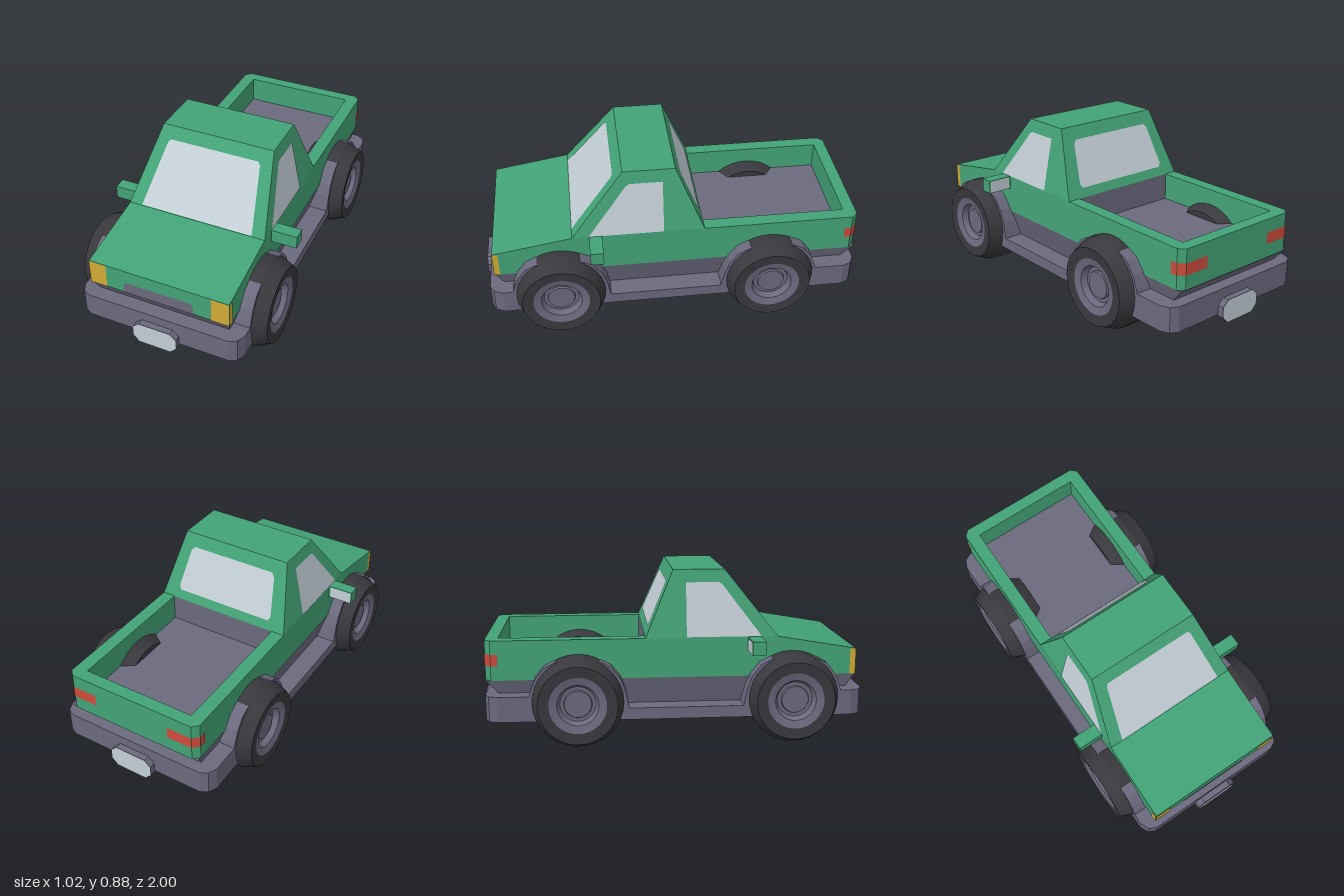
import * as THREE from 'three';
import { toCreasedNormals } from 'three/addons/utils/BufferGeometryUtils.js';

const paint = (name, color) => {
  const m = new THREE.MeshStandardMaterial({ color });
  m.name = name;
  return m;
};

export function createModel() {
  const green = paint('green paint', 0x43a377);
  const grey = paint('grey trim', 0x6b697d);
  const black = paint('tyre rubber', 0x38383d);
  const pale = paint('pale glass', 0xc3ced5);
  const amber = paint('amber lamp', 0xd2ac35);
  const red = paint('red lamp', 0xcf4a3a);

  const truck = new THREE.Group();
  truck.name = 'pickupTruck';
  const add = (name, geo, mat, parent = truck) => {
    const mesh = new THREE.Mesh(geo, mat);
    mesh.name = name;
    parent.add(mesh);
    return mesh;
  };

  // Plan outline of [x, z] points, extruded upwards
  const plan = (pts, y0, y1) => {
    const shape = new THREE.Shape(pts.map(([x, z]) => new THREE.Vector2(x, -z)));
    return new THREE.ExtrudeGeometry(shape, { depth: y1 - y0, bevelEnabled: false })
      .rotateX(-Math.PI / 2).translate(0, y0, 0);
  };
  // Side outline of [z, y] points, extruded across x
  const side = (pts, x0, x1) => {
    const shape = new THREE.Shape(pts.map(([z, y]) => new THREE.Vector2(z, y)));
    return new THREE.ExtrudeGeometry(shape, { depth: x1 - x0, bevelEnabled: false })
      .rotateY(-Math.PI / 2).translate(x1, 0, 0);
  };
  // Box with different bottom and top rectangles: [halfWidth, zBack, zFront, y]
  const tapered = (bottom, top) => {
    const geo = new THREE.BoxGeometry(2, 2, 2);
    const p = geo.attributes.position;
    for (let i = 0; i < p.count; i++) {
      const [w, zb, zf, y] = p.getY(i) < 0 ? bottom : top;
      p.setXYZ(i, p.getX(i) * w, y, p.getZ(i) < 0 ? zb : zf);
    }
    geo.computeVertexNormals();
    return geo;
  };
  // Flat convex plate, lifted slightly off the surface and facing `out`
  const plate = (name, mat, pts, out) => {
    let v = pts.map(p => new THREE.Vector3(...p));
    const n = v[1].clone().sub(v[0]).cross(v[2].clone().sub(v[0])).normalize();
    if (n.dot(new THREE.Vector3(...out)) < 0) { v.reverse(); n.negate(); }
    v = v.map(p => p.addScaledVector(n, 0.003));
    const tris = [];
    for (let i = 1; i < v.length - 1; i++) tris.push(v[0], v[i], v[i + 1]);
    const geo = new THREE.BufferGeometry().setFromPoints(tris);
    geo.computeVertexNormals();
    return add(name, geo, mat);
  };

  // Chassis slab with rounded corners, raised into bumpers at both ends
  const corner = [[0.44, 0.9], [0.42, 0.945], [0.38, 0.965]];
  const endCap = (z0, s) => [[0.44, z0], ...corner.map(([x, z]) => [x, s * z]),
    ...corner.map(([x, z]) => [-x, s * z]).reverse(), [-0.44, z0]];
  add('chassis', plan([...endCap(0, 1), ...endCap(0, -1).reverse()], 0.14, 0.2), grey);
  add('frontBumper', plan(endCap(0.8, 1), 0.2, 0.27), grey);
  add('rearBumper', plan(endCap(-0.7, -1), 0.2, 0.27), grey);
  add('lowerBody', tapered([0.335, -0.84, 0.85, 0.2], [0.373, -0.963, 0.933, 0.34]), grey);

  // Number plate blocks at both ends
  for (const s of [1, -1]) {
    const outline = [[0.118, 0.135], [0.118, 0.19], [0.085, 0.22], [-0.085, 0.22],
      [-0.118, 0.19], [-0.118, 0.135], [-0.085, 0.102], [0.085, 0.102]];
    const shape = new THREE.Shape(outline.map(([x, y]) => new THREE.Vector2(x, y)));
    const block = new THREE.ExtrudeGeometry(shape, { depth: 0.047, bevelEnabled: false });
    block.translate(0, 0, s > 0 ? 0.95 : -0.997);
    const end = s > 0 ? 'front' : 'rear';
    add(end + 'PlateBlock', block, grey);
    plate(end + 'Plate', pale, outline.map(([x, y]) => [x, y, s * 0.997]), [0, 0, s]);
  }

  // Hood and lower cab
  add('hood', side([[-0.155, 0.34], [0.935, 0.34], [0.935, 0.475], [0.525, 0.545],
    [-0.155, 0.545]], -0.375, 0.375), green);

  // Open cargo bed
  add('bedWalls', plan([[0.375, -0.155], [0.375, -0.935], [0.345, -0.965], [-0.345, -0.965],
    [-0.375, -0.935], [-0.375, -0.155], [-0.305, -0.155], [-0.305, -0.9],
    [0.305, -0.9], [0.305, -0.155]], 0.34, 0.545), green);
  add('bedFloor', new THREE.BoxGeometry(0.62, 0.06, 0.76).translate(0, 0.372, -0.53), grey);
  plate('bedFrontWall', grey, [[-0.305, 0.4, -0.155], [0.305, 0.4, -0.155],
    [0.305, 0.545, -0.155], [-0.305, 0.545, -0.155]], [0, 0, -1]);

  // Cab and its windows, laid on the sloping faces
  add('cab', tapered([0.375, -0.155, 0.525, 0.545], [0.305, -0.01, 0.255, 0.885]), green);
  const t = y => (y - 0.545) / 0.34;
  const onFront = ([x, y]) => [x, y, 0.525 - 0.27 * t(y)];
  const onBack = ([x, y]) => [x, y, -0.155 + 0.145 * t(y)];
  plate('windshield', pale, [[-0.305, 0.548], [0.305, 0.548], [0.255, 0.815], [0.243, 0.83],
    [-0.243, 0.83], [-0.255, 0.815]].map(onFront), [0, 0, 1]);
  plate('rearWindow', pale, [[-0.27, 0.59], [0.27, 0.59], [0.282, 0.61], [0.253, 0.8],
    [0.235, 0.82], [-0.235, 0.82], [-0.253, 0.8], [-0.282, 0.61]].map(onBack), [0, 0, -1]);

  // Front grille
  plate('grille', grey, [[-0.19, 0.342, 0.935], [0.19, 0.342, 0.935], [0.185, 0.39, 0.935],
    [0.175, 0.405, 0.935], [-0.175, 0.405, 0.935], [-0.185, 0.39, 0.935]], [0, 0, 1]);

  // Wheel profiles: [radius, distance from centre line]
  const lathe = pts => toCreasedNormals(
    new THREE.LatheGeometry(pts.map(p => new THREE.Vector2(...p)), 32).rotateZ(-Math.PI / 2), 0.3);
  const tyreGeo = lathe([[0, 0.24], [0.2, 0.24], [0.235, 0.32], [0.235, 0.43],
    [0.2, 0.51], [0.145, 0.505]]);
  const rimGeo = lathe([[0.145, 0.505], [0.105, 0.495], [0.09, 0.465], [0.072, 0.465],
    [0.068, 0.475], [0, 0.475]]);
  const arch = [[0.26, 0.19], [0.24, 0.29], [0.215, 0.355], [0.17, 0.413], [0.115, 0.441]];

  for (const s of [1, -1]) {
    const label = s > 0 ? 'left' : 'right';
    const out = [s, 0, 0];

    // Wheels and the arches around them
    for (const [end, z] of [['Front', 0.6], ['Rear', -0.5]]) {
      const wheel = new THREE.Group();
      wheel.name = label + end + 'Wheel';
      add('tyre', tyreGeo, black, wheel);
      add('rim', rimGeo, grey, wheel);
      wheel.position.set(0, 0.235, z);
      wheel.rotation.y = s > 0 ? 0 : Math.PI;
      truck.add(wheel);
      const pts = [...arch.map(([d, y]) => [z + d, y]),
        ...arch.map(([d, y]) => [z - d, y]).reverse()];
      add(label + end + 'Arch', side(pts, s > 0 ? 0.33 : -0.44, s > 0 ? 0.44 : -0.33), grey);
    }

    // Side window
    plate(label + 'Window', pale, [[0.44, 0.547], [0.24, 0.81], [0.222, 0.82], [0.055, 0.82],
      [0.055, 0.547]].map(([z, y]) => [s * (0.375 - 0.07 * t(y)), y, z]), out);

    // Door mirror with glass on its rear face
    add(label + 'Mirror', new THREE.BoxGeometry(0.15, 0.07, 0.067)
      .translate(s * 0.435, 0.51, 0.405), green);
    plate(label + 'MirrorGlass', pale, [[0.385, 0.478], [0.507, 0.478], [0.507, 0.542],
      [0.385, 0.542]].map(([x, y]) => [s * x, y, 0.3715]), [0, 0, -1]);

    // Lamps wrap around the body corners, following [x, z] paths
    const lamp = (name, mat, path, y0, y1, dir) => {
      for (let i = 0; i < path.length - 1; i++) {
        const [[xa, za], [xb, zb]] = [path[i], path[i + 1]];
        plate(label + name, mat, [[s * xa, y0, za], [s * xb, y0, zb],
          [s * xb, y1, zb], [s * xa, y1, za]], [s, 0, dir]);
      }
    };
    lamp('Headlamp', amber, [[0.375, 0.905], [0.375, 0.935], [0.282, 0.935]], 0.341, 0.474, 1);
    lamp('TailLamp', red, [[0.375, -0.9], [0.375, -0.935], [0.345, -0.965], [0.21, -0.965]],
      0.415, 0.475, -1);
  }
  return truck;
}
